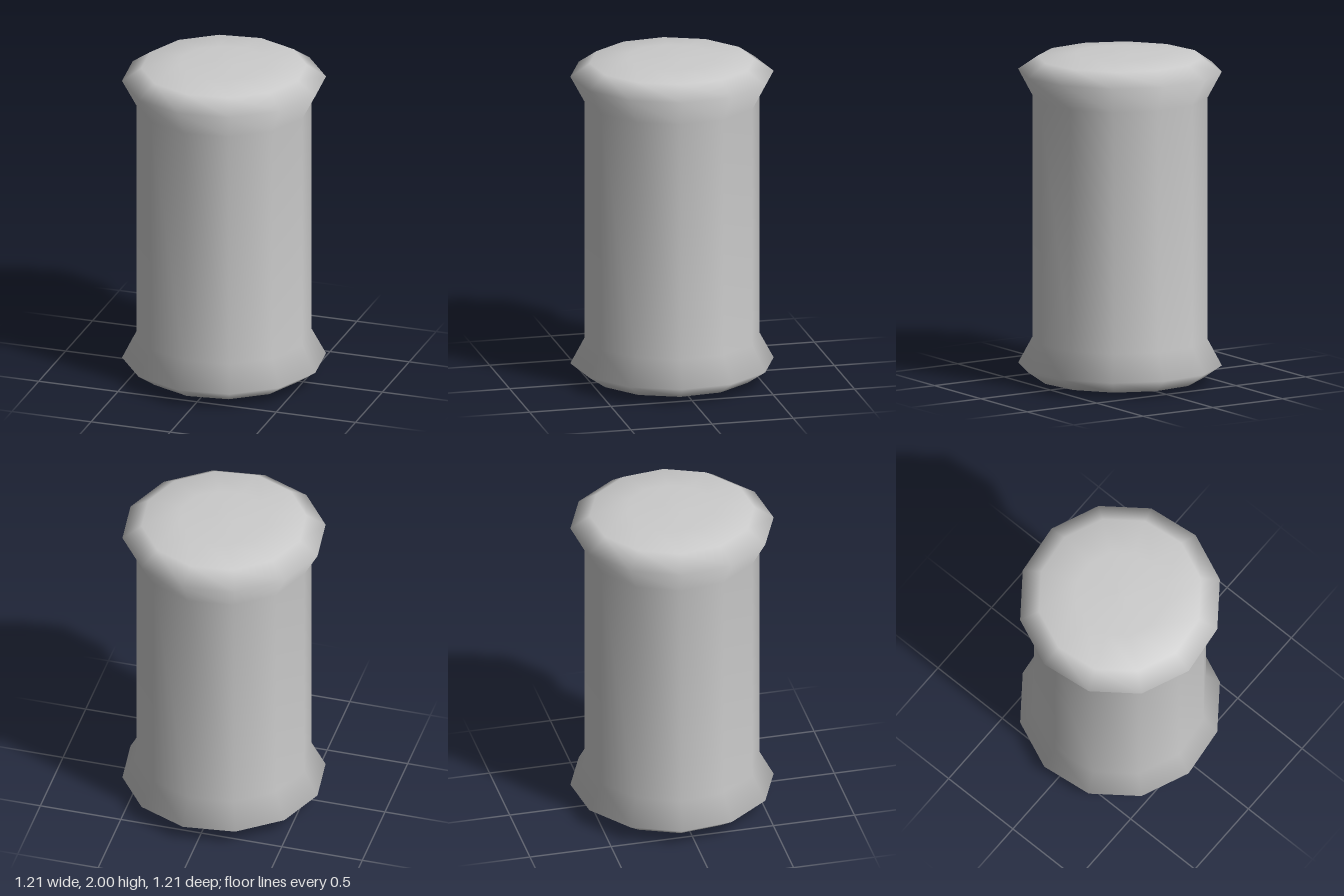
import * as THREE from 'three';

export function createModel() {
  const group = new THREE.Group();
  const material = new THREE.MeshStandardMaterial({ color: 0xcccccc });

  // Lower half of the spool profile: [radius, height]
  const lower = [[0, 0], [0.27, 0.004], [0.495, 0.025], [0.611, 0.105], [0.525, 0.265]];
  // The upper half mirrors it about y = 1
  const upper = lower.map(([r, y]) => [r, 2 - y]).reverse();
  const profile = [...lower, ...upper].map(([r, y]) => new THREE.Vector2(r, y));

  // Twelve-sided smooth body with domed, flared ends, turned slightly off axis
  const geometry = new THREE.LatheGeometry(profile, 12, THREE.MathUtils.degToRad(-8));
  const spool = new THREE.Mesh(geometry, material);
  spool.name = 'spoolBody';
  group.add(spool);

  return group;
}
